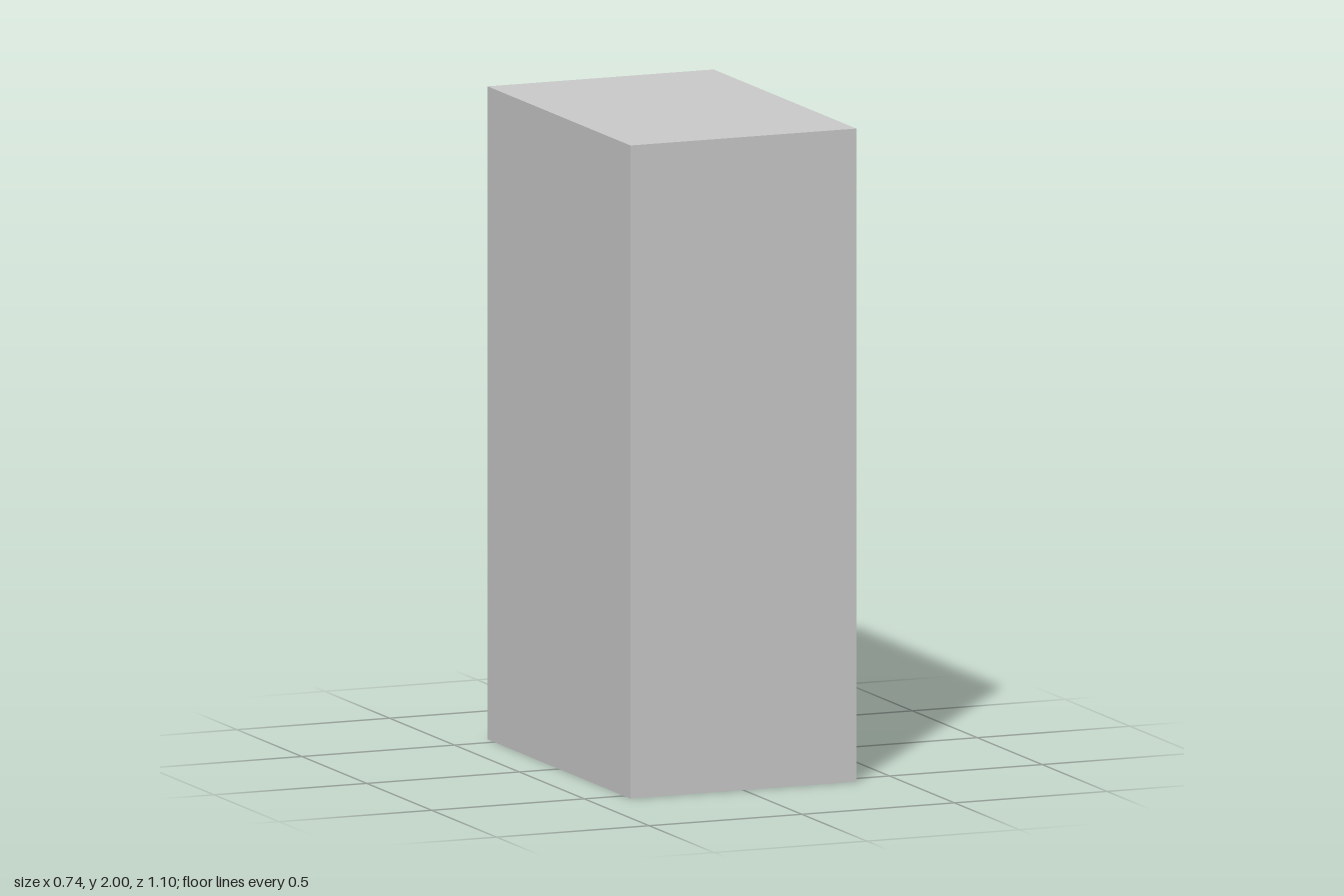
import * as THREE from 'three';

const HEIGHT = 2, DEPTH = 1.1, HALF_X = 0.37, BACK_X = -0.19;
// bottom and top of each open compartment
const BAYS = [[0.355, 0.715], [0.77, 1.08], [1.13, 1.45], [1.5, 1.97]];

// Closed rectangle outline; u runs along -z
function rect(path, u, y0, y1) {
  path.moveTo(-u, y0);
  path.lineTo(u, y0);
  path.lineTo(u, y1);
  path.lineTo(-u, y1);
  path.closePath();
  return path;
}

export function createModel() {
  const group = new THREE.Group();
  group.name = 'shelfCabinet';
  const material = new THREE.MeshStandardMaterial({ color: 0xcccccc });

  // Carcass with side walls, base and shelves, open toward +x
  const outline = rect(new THREE.Shape(), DEPTH / 2, 0, HEIGHT);
  for (const [y0, y1] of BAYS) outline.holes.push(rect(new THREE.Path(), 0.52, y0, y1));
  const carcassGeometry = new THREE.ExtrudeGeometry(outline, {
    depth: HALF_X - BACK_X, bevelEnabled: false,
  });
  carcassGeometry.rotateY(Math.PI / 2);
  const carcass = new THREE.Mesh(carcassGeometry, material);
  carcass.name = 'carcassWithShelves';
  carcass.position.x = BACK_X;
  group.add(carcass);

  // Thick back closing the compartments
  const thickness = BACK_X + HALF_X;
  const back = new THREE.Mesh(new THREE.BoxGeometry(thickness, HEIGHT, DEPTH), material);
  back.name = 'backPanel';
  back.position.set(-HALF_X + thickness / 2, HEIGHT / 2, 0);
  group.add(back);

  return group;
}
